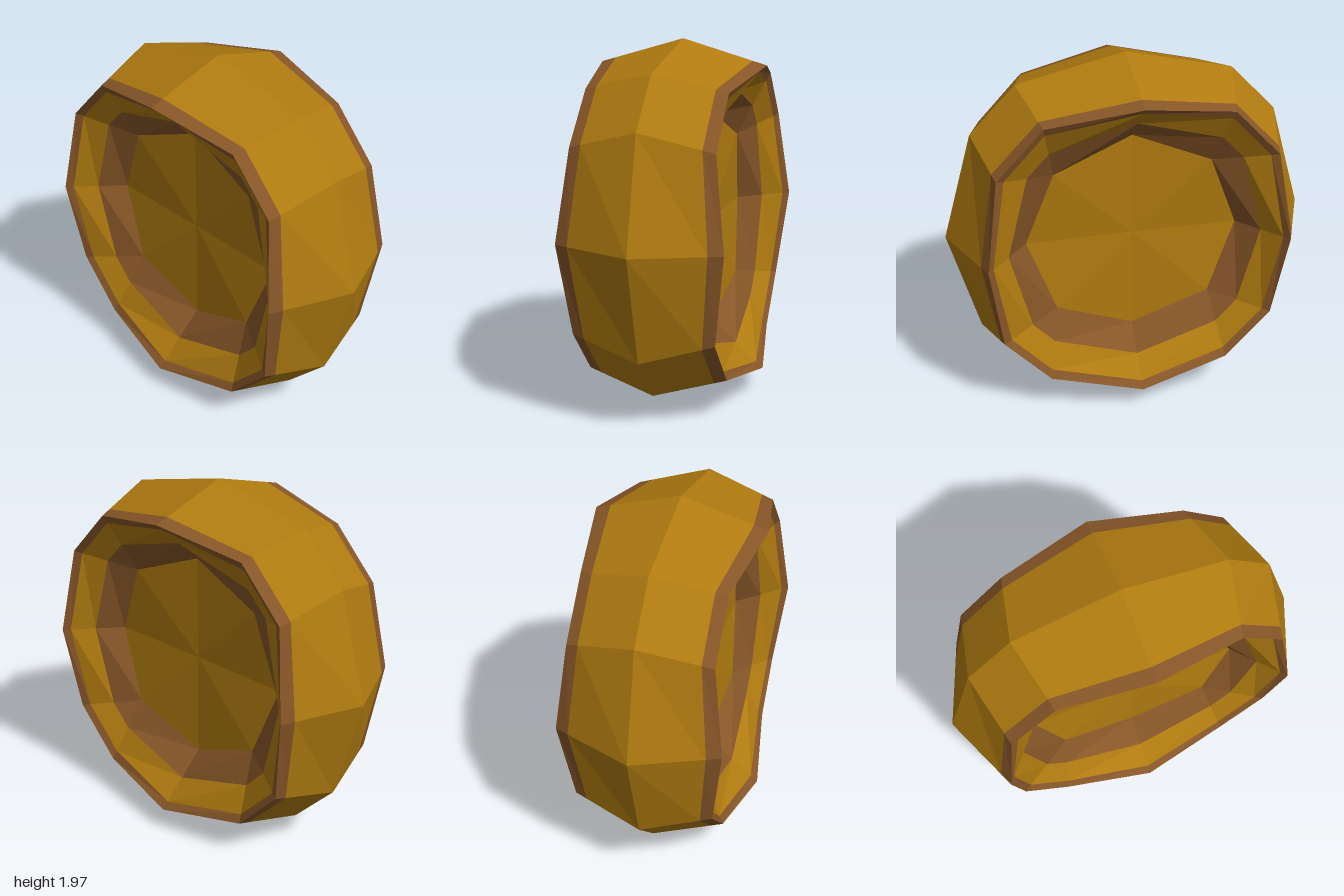
import * as THREE from 'three';

const CENTER_Y = 0.99;

// Mirrors a quarter outline (axis, lower diagonal, upper diagonal, top) into a 12-point ring
function ring([p0, p1, p2, p3]) {
  const flip = ([x, y, z], sx, sy) => new THREE.Vector3(x * sx, y * sy, z);
  return [
    flip(p0, 1, 1), flip(p1, 1, 1), flip(p2, 1, 1),
    flip(p3, 1, 1), flip(p2, -1, 1), flip(p1, -1, 1),
    flip(p0, -1, 1), flip(p1, -1, -1), flip(p2, -1, -1),
    flip(p3, 1, -1), flip(p2, 1, -1), flip(p1, 1, -1),
  ];
}

const blend = (a, b, t) => a.map((p, i) => p.clone().lerp(b[i], t));

// Faceted band between two rings
function band(a, b) {
  const pos = [];
  const tri = (...pts) => {
    const area = new THREE.Triangle(...pts).getArea();
    if (area > 1e-6) pts.forEach((p) => pos.push(p.x, p.y, p.z));
  };
  a.forEach((p, i) => {
    const j = (i + 1) % a.length;
    tri(p, a[j], b[j]);
    tri(p, b[j], b[i]);
  });
  const geo = new THREE.BufferGeometry();
  geo.setAttribute('position', new THREE.Float32BufferAttribute(pos, 3));
  geo.computeVertexNormals();
  return geo;
}

export function createModel() {
  const gold = new THREE.MeshStandardMaterial({ color: 0xb07b10, flatShading: true });
  gold.name = 'gold';
  const brown = new THREE.MeshStandardMaterial({ color: 0x875628, flatShading: true });
  brown.name = 'brown';

  // Key rings: widest middle, front rim, recessed disc edge (eight corners), disc centre
  const middle = ring([[1, 0, 0], [0.835, 0.59, 0], [0.585, 0.85, 0], [0, 0.985, 0]]);
  const rim = ring([[0.82, 0, 0.44], [0.75, 0.49, 0.38], [0.5, 0.757, 0.38], [0, 0.85, 0.465]]);
  const disc = ring([[0.585, 0, 0.17], [0.43, 0.41, 0.2], [0.43, 0.41, 0.2], [0, 0.585, 0.17]]);
  const hub = disc.map(() => new THREE.Vector3(0, 0, 0.165));

  // Colour boundaries on the outer band and the inner wall
  const outerEdge = blend(middle, rim, 0.83);
  const wallEdge = blend(rim, disc, 0.13);
  const wallInner = blend(rim, disc, 0.53);

  const parts = [
    ['outerBand', middle, outerEdge, gold],
    ['rimOuterTrim', outerEdge, rim, brown],
    ['rimInnerTrim', rim, wallEdge, brown],
    ['innerWall', wallEdge, wallInner, gold],
    ['discSurround', wallInner, disc, brown],
    ['disc', disc, hub, gold],
  ].map(([name, a, b, material]) => ({ name, geo: band(a, b), material }));

  const model = new THREE.Group();
  model.name = 'facetedRing';

  // Identical front and back halves
  ['frontHalf', 'backHalf'].forEach((halfName, k) => {
    const half = new THREE.Group();
    half.name = halfName;
    half.position.y = CENTER_Y;
    half.rotation.y = k * Math.PI;
    parts.forEach(({ name, geo, material }) => {
      const mesh = new THREE.Mesh(geo, material);
      mesh.name = name;
      half.add(mesh);
    });
    model.add(half);
  });
  return model;
}
